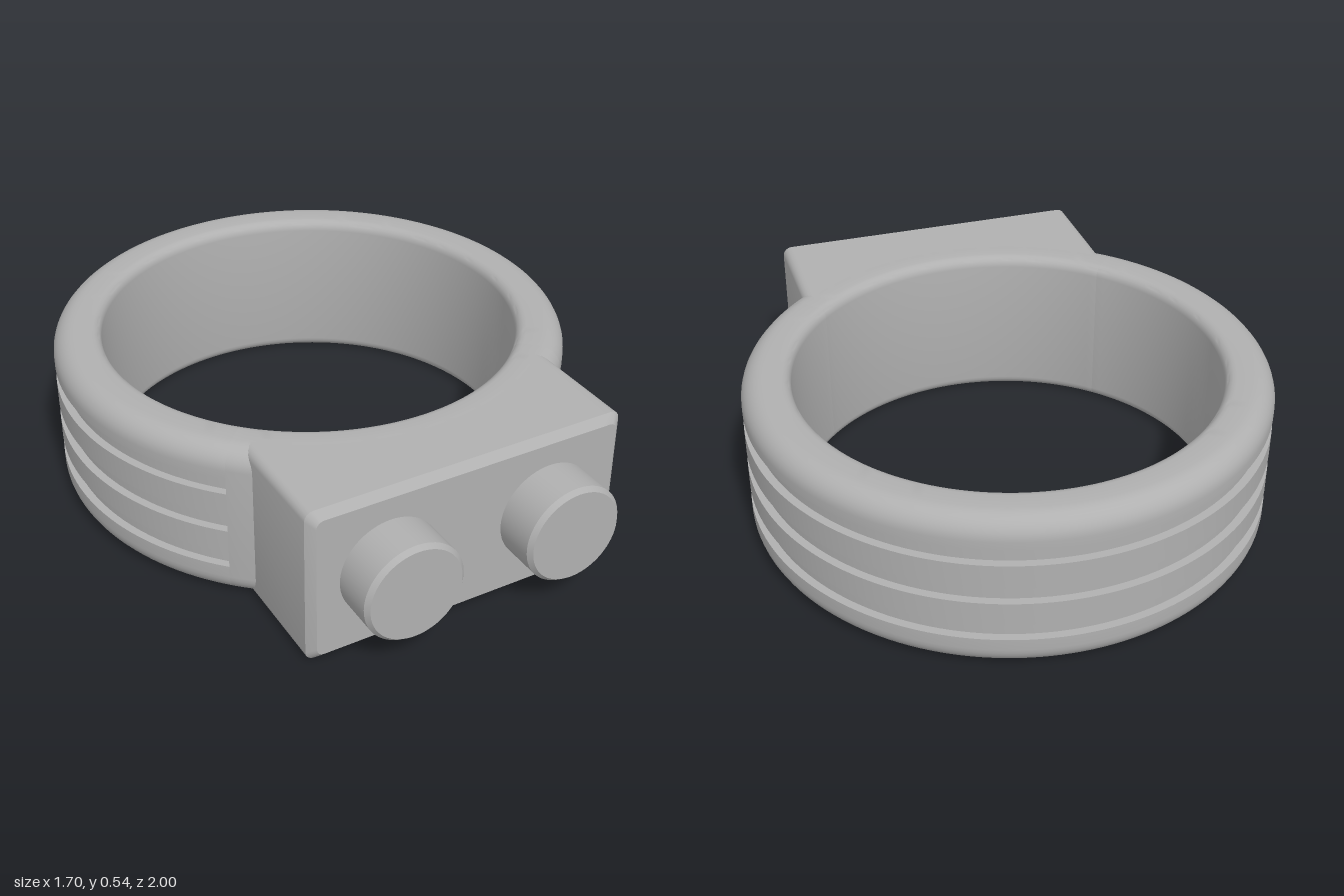
import * as THREE from 'three';
import { toCreasedNormals } from 'three/addons/utils/BufferGeometryUtils.js';

const H = 0.535, RING_Z = -0.15, R_OUT = 0.85, R_IN = 0.69;
const GROOVES = [0.137, 0.272, 0.41], GROOVE_H = 0.056, GROOVE_D = 0.026;

// Quarter arc of profile points
function arc(cx, cy, r, from, to, n) {
  return Array.from({ length: n + 1 }, (_, i) => {
    const a = from + (to - from) * i / n;
    return new THREE.Vector2(cx + r * Math.cos(a), cy + r * Math.sin(a));
  });
}

// Ring cross-section, counter-clockwise, with or without outer grooves
function ringProfile(grooved) {
  const f = 0.07, g = 0.035, q = Math.PI / 2;
  const pts = [
    ...arc(R_IN + g, g, g, 2 * q, 3 * q, 5),
    ...arc(R_OUT - f, f, f, -q, 0, 8),
  ];
  if (grooved) {
    for (const y of GROOVES) {
      const a = y - GROOVE_H / 2, b = y + GROOVE_H / 2, r = R_OUT - GROOVE_D;
      for (const [x, v] of [[R_OUT, a], [r, a], [r, b], [R_OUT, b]]) pts.push(new THREE.Vector2(x, v));
    }
  }
  pts.push(...arc(R_OUT - f, H - f, f, 0, q, 8), ...arc(R_IN + g, H - g, g, q, 2 * q, 5));
  pts.push(pts[0].clone());
  return pts;
}

// Rounded rectangle loop in x and y, with extra points along the long edges
function blockLoop(w, h, r) {
  const q = Math.PI / 2, cy = H / 2, x = w - r, y = h - r, out = [];
  const edge = (s) => {
    for (let i = 1; i < 32; i++) out.push(new THREE.Vector2(s * (x - 2 * x * i / 32), cy + s * h));
  };
  out.push(...arc(x, cy + y, r, 0, q, 4));
  edge(1);
  out.push(...arc(-x, cy + y, r, q, 2 * q, 4), ...arc(-x, cy - y, r, 2 * q, 3 * q, 4));
  edge(-1);
  out.push(...arc(x, cy - y, r, 3 * q, 4 * q, 4));
  return out;
}

// Block whose back follows the ring, with a chamfered front
function blockGeometry() {
  const front = 0.85, c = 0.025, rBack = 0.76;
  const outer = blockLoop(0.54, H / 2, 0.03), inner = blockLoop(0.54 - c, H / 2 - c, 0.025);
  const loops = [
    outer.map(p => [p.x, p.y, RING_Z + Math.sqrt(rBack * rBack - p.x * p.x)]),
    outer.map(p => [p.x, p.y, front - c]),
    inner.map(p => [p.x, p.y, front]),
  ];
  const n = outer.length, index = [];
  for (let k = 0; k < 2; k++) {
    for (let i = 0; i < n; i++) {
      const a = k * n + i, b = k * n + (i + 1) % n;
      index.push(a, b, b + n, a, b + n, a + n);
    }
  }
  for (let i = 0; i < n; i++) index.push(3 * n, 2 * n + i, 2 * n + (i + 1) % n);
  const geo = new THREE.BufferGeometry();
  geo.setAttribute('position', new THREE.Float32BufferAttribute([...loops.flat(2), 0, H / 2, front], 3));
  geo.setIndex(index);
  return toCreasedNormals(geo, 0.5);
}

export function createModel() {
  const model = new THREE.Group();
  const grey = new THREE.MeshStandardMaterial({ color: 0xb0b0b0 });
  grey.name = 'grey';
  grey.side = THREE.DoubleSide;
  const add = (name, geo, parent = model) => {
    const mesh = new THREE.Mesh(geo, grey);
    mesh.name = name;
    parent.add(mesh);
    return mesh;
  };

  // Ring: grooved for three quarters, plain behind the block
  const ring = new THREE.Group();
  ring.name = 'ring';
  ring.position.z = RING_Z;
  model.add(ring);
  const q = Math.PI / 4;
  add('groovedBand', toCreasedNormals(new THREE.LatheGeometry(ringProfile(true), 120, q, 6 * q), 0.6), ring);
  add('plainBand', toCreasedNormals(new THREE.LatheGeometry(ringProfile(false), 40, -q, 2 * q), 0.6), ring);

  // Walls closing the ends of the grooves
  for (const s of [-1, 1]) {
    for (const y of GROOVES) {
      const wall = add('grooveEnd', new THREE.PlaneGeometry(GROOVE_D, GROOVE_H), ring);
      const r = R_OUT - GROOVE_D / 2;
      wall.position.set(s * r * Math.sin(q), y, r * Math.cos(q));
      wall.rotation.y = s > 0 ? 3 * q : -3 * q;
    }
  }

  add('frontBlock', blockGeometry());

  // Two round buttons with chamfered rims
  const profile = [[0.165, 0.84], [0.165, 0.985], [0.152, 1], [0, 1]].map(p => new THREE.Vector2(...p));
  const buttonGeo = toCreasedNormals(new THREE.LatheGeometry(profile, 64), 0.5);
  for (const s of [-1, 1]) {
    const button = add(s > 0 ? 'leftButton' : 'rightButton', buttonGeo);
    button.rotation.x = Math.PI / 2;
    button.position.set(s * 0.275, 0.27, 0);
  }
  return model;
}
